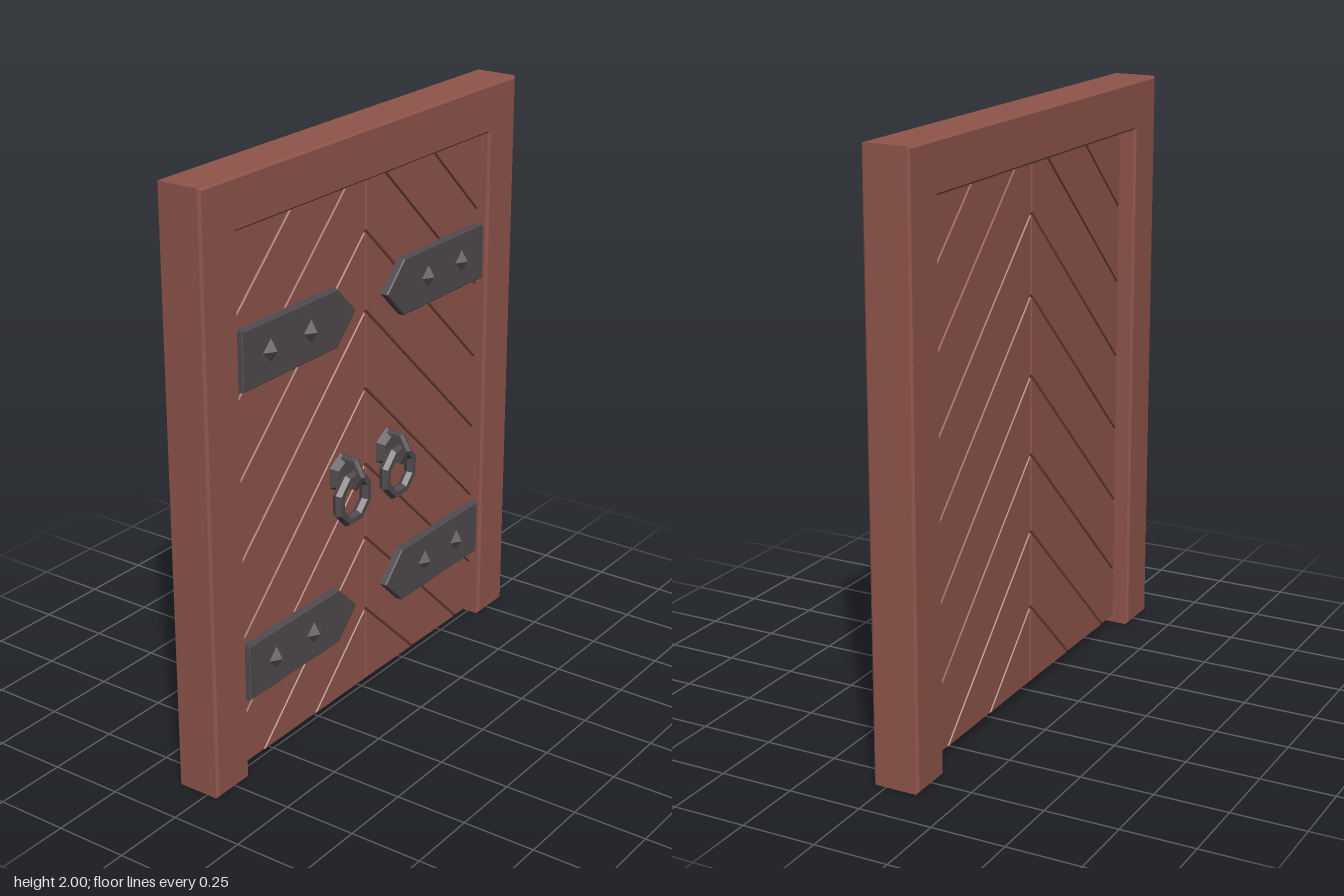
import * as THREE from 'three';

const wood = new THREE.MeshStandardMaterial({ color: 0x8f554b });
wood.name = 'reddish wood';
const iron = new THREE.MeshStandardMaterial({ color: 0x504b4e, flatShading: true });
iron.name = 'dark iron';

// Chamfered slab from an outline, filling z0..z1
function slab(name, pts, z0, z1, bevel, material) {
  const shape = new THREE.Shape(pts.map(([x, y]) => new THREE.Vector2(x, y)));
  const geo = new THREE.ExtrudeGeometry(shape, {
    depth: z1 - z0 - 2 * bevel, bevelEnabled: true, bevelSegments: 1,
    bevelSize: bevel, bevelThickness: bevel, bevelOffset: -bevel,
  });
  geo.translate(0, 0, z0 + bevel);
  const mesh = new THREE.Mesh(geo, material);
  mesh.name = name;
  return mesh;
}

// Keeps the part of a convex polygon where f(x, y) >= 0
function clip(poly, f) {
  const out = [];
  poly.forEach((a, i) => {
    const b = poly[(i + 1) % poly.length];
    const fa = f(a), fb = f(b);
    if (fa >= 0) out.push(a);
    if (fa * fb < 0) {
      const t = fa / (fa - fb);
      out.push([a[0] + (b[0] - a[0]) * t, a[1] + (b[1] - a[1]) * t]);
    }
  });
  return out;
}

function place(name, geo, x, y, z) {
  const mesh = new THREE.Mesh(geo, iron);
  mesh.name = name;
  mesh.position.set(x, y, z);
  return mesh;
}

// Door leaf of slanted planks; side is -1 or +1
function planks(side) {
  const leaf = new THREE.Group();
  leaf.name = side > 0 ? 'leftLeaf' : 'rightLeaf';
  const slope = 0.96, pitch = 0.27, gap = 0.003;
  const rect = [[0.003, 0.033], [0.665, 0.033], [0.665, 1.825], [0.003, 1.825]];
  for (let k = -1; k < 8; k++) {
    const low = k < 0 ? -1 : 0.31 + pitch * k + gap;
    const high = 0.31 + pitch * (k + 1) - gap;
    let poly = clip(rect, ([x, y]) => y + slope * x - low);
    poly = clip(poly, ([x, y]) => high - y - slope * x);
    if (poly.length < 3) continue;
    poly = poly.map(([x, y]) => [side * x, y]);
    if (side < 0) poly.reverse();
    leaf.add(slab('plank', poly, -0.065, 0.016, 0.004, wood));
  }
  return leaf;
}

// Pointed hinge strap with two pyramid studs
function strap(side, y) {
  const g = new THREE.Group();
  g.name = 'hingeStrap';
  const h = 0.098;
  let pts = [[0.085, y], [0.185, y - h], [0.664, y - h], [0.664, y + h], [0.185, y + h]];
  pts = pts.map(([x, py]) => [side * x, py]);
  if (side < 0) pts.reverse();
  g.add(slab('strapPlate', pts, 0.01, 0.042, 0.004, iron));
  for (const x of [0.325, 0.527]) {
    const geo = new THREE.ConeGeometry(0.042, 0.026, 4);
    geo.rotateX(Math.PI / 2);
    g.add(place('stud', geo, side * x, y, 0.053));
  }
  return g;
}

// Ring pull hanging from a loop on a six-sided base
function handle(x) {
  const g = new THREE.Group();
  g.name = 'ringHandle';
  const base = new THREE.CylinderGeometry(0.055, 0.07, 0.03, 6);
  base.rotateX(Math.PI / 2);
  g.add(place('handleBase', base, x, 0.87, 0.03));
  const loop = new THREE.TorusGeometry(0.05, 0.015, 6, 6);
  loop.rotateY(Math.PI / 2);
  g.add(place('handleLoop', loop, x, 0.878, 0.051));
  const ring = new THREE.TorusGeometry(0.079, 0.02, 6, 8);
  ring.rotateZ(Math.PI / 8);
  g.add(place('pullRing', ring, x, 0.793, 0.063));
  return g;
}

export function createModel() {
  const model = new THREE.Group();
  model.name = 'doubleDoor';

  // Surround: two posts and a lintel in one piece
  const frame = [[-0.843, 0], [-0.683, 0], [-0.683, 1.833], [0.683, 1.833],
    [0.683, 0], [0.843, 0], [0.843, 2], [-0.843, 2]];
  model.add(slab('frame', frame, -0.115, 0.045, 0.008, wood));

  for (const side of [-1, 1]) {
    model.add(planks(side));
    for (const y of [0.368, 1.422]) model.add(strap(side, y));
  }
  model.add(handle(-0.14), handle(0.122));
  return model;
}
